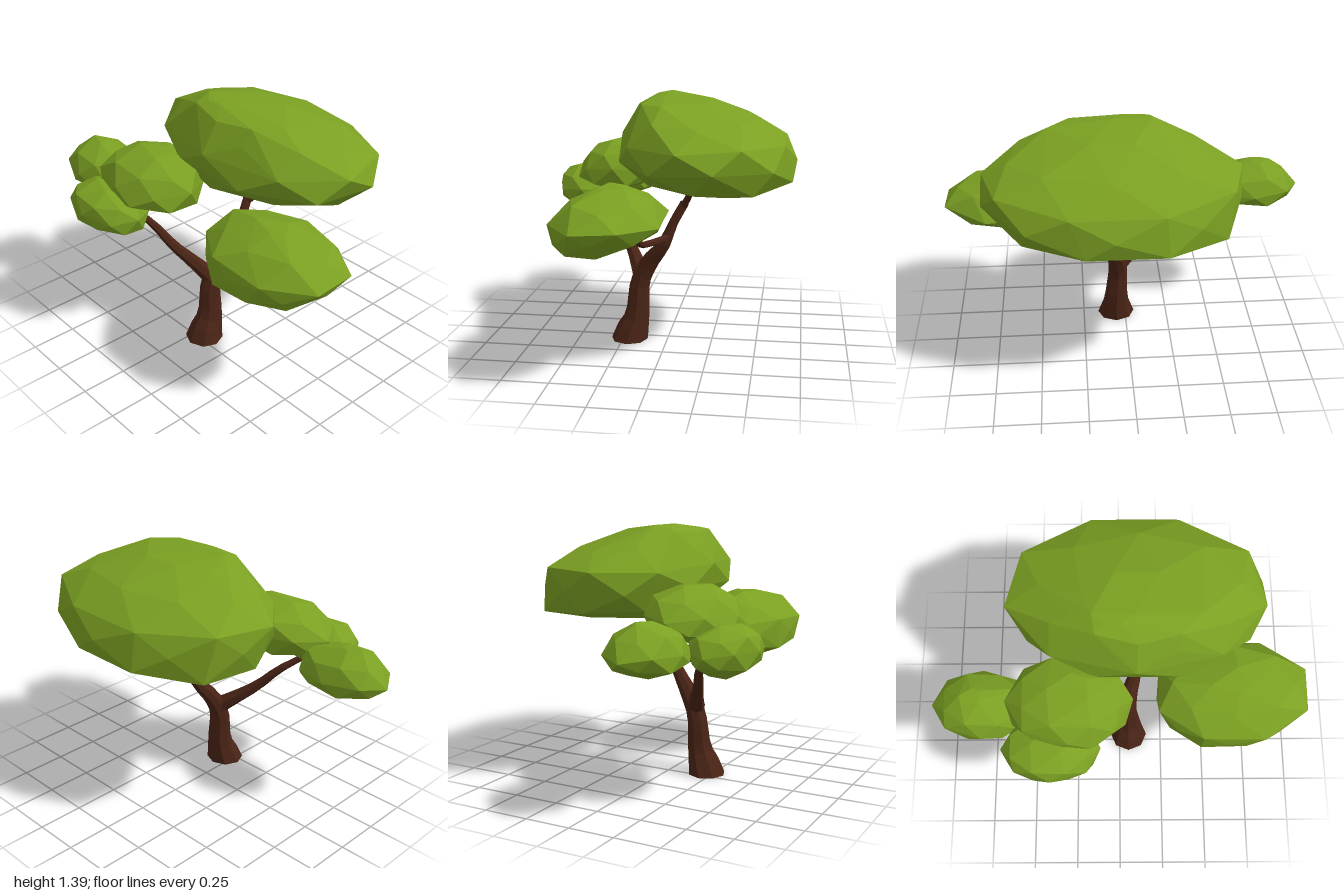
import * as THREE from 'three';
import { ConvexGeometry } from 'three/addons/geometries/ConvexGeometry.js';

const leafMat = new THREE.MeshStandardMaterial({ color: 0x7ba022, flatShading: true });
const barkMat = new THREE.MeshStandardMaterial({ color: 0x4a2416, flatShading: true });

// Faceted leaf mass: convex hull of staggered oval rings [y, xMin, xMax, zMin, zMax]
function foliage(name, rings, n = 8) {
  const points = [];
  rings.forEach(([y, x0, x1, z0, z1], r) => {
    const shift = r % 2 ? 0.5 : 0;
    const grow = shift ? 1 / Math.cos(Math.PI / n) : 1; // staggered rings still reach their limits
    for (let i = 0; i < n; i++) {
      const a = ((i + shift) / n) * Math.PI * 2;
      const wobble = 0.012 * Math.sin(i * 2.3 + r * 1.7);
      points.push(new THREE.Vector3(
        (x0 + x1) / 2 + Math.cos(a) * grow * (x1 - x0) / 2,
        y + wobble,
        (z0 + z1) / 2 + Math.sin(a) * grow * (z1 - z0) / 2));
    }
  });
  const mesh = new THREE.Mesh(new ConvexGeometry(points), leafMat);
  mesh.name = name;
  return mesh;
}

// Tapered limb along a smooth path of [x, y, z, radius]
function limb(name, path, segments, sides) {
  const curve = new THREE.CatmullRomCurve3(path.map(([x, y, z]) => new THREE.Vector3(x, y, z)));
  const geo = new THREE.TubeGeometry(curve, segments, 1, sides);
  const pos = geo.attributes.position;
  const v = new THREE.Vector3();
  for (let i = 0; i <= segments; i++) {
    const centre = curve.getPointAt(i / segments);
    const t = curve.getUtoTmapping(i / segments) * (path.length - 1);
    const k = Math.min(Math.floor(t), path.length - 2);
    const radius = THREE.MathUtils.lerp(path[k][3], path[k + 1][3], t - k);
    for (let j = 0; j <= sides; j++) {
      const id = i * (sides + 1) + j;
      v.fromBufferAttribute(pos, id).sub(centre).multiplyScalar(radius).add(centre);
      if (i === 0 && path[0][1] === 0) v.y = 0; // flat foot on the ground
      pos.setXYZ(id, v.x, v.y, v.z);
    }
  }
  const mesh = new THREE.Mesh(geo, barkMat);
  mesh.name = name;
  return mesh;
}

export function createModel() {
  const tree = new THREE.Group();
  tree.name = 'tree';

  // Trunk leaning into the main bough
  tree.add(limb('trunk', [
    [-0.215, 0, 0.055, 0.108], [-0.17, 0.14, 0.055, 0.068], [-0.152, 0.34, 0.045, 0.054],
    [-0.1, 0.45, 0.055, 0.05], [-0.01, 0.57, 0.09, 0.034], [0.035, 0.68, 0.085, 0.025],
    [0.1, 0.8, 0.07, 0.024],
  ], 14, 8));
  const foot = new THREE.Mesh(new THREE.CircleGeometry(0.1, 8), barkMat);
  foot.name = 'trunkFoot';
  foot.rotation.x = Math.PI / 2;
  foot.position.set(-0.215, 0.002, 0.055);
  tree.add(foot);

  // Boughs
  tree.add(limb('crownBoughFront', [
    [0.09, 0.78, 0.07, 0.022], [0.125, 0.84, 0.12, 0.018], [0.17, 0.94, 0.24, 0.014]], 4, 6));
  tree.add(limb('crownBoughBack', [
    [0.09, 0.78, 0.07, 0.022], [0.13, 0.85, 0.03, 0.018], [0.17, 0.93, -0.04, 0.015]], 4, 6));
  tree.add(limb('backBough', [
    [-0.15, 0.38, 0.045, 0.05], [-0.2, 0.455, -0.05, 0.038], [-0.26, 0.54, -0.15, 0.029],
    [-0.32, 0.66, -0.26, 0.022], [-0.42, 0.76, -0.38, 0.016]], 8, 7));
  tree.add(limb('frontBough', [
    [0.01, 0.605, 0.09, 0.022], [-0.05, 0.62, 0.27, 0.019],
    [-0.085, 0.65, 0.43, 0.017], [-0.085, 0.74, 0.58, 0.014]], 7, 6));

  // Foliage
  tree.add(foliage('mainCrown', [
    [0.89, 0.03, 0.57, -0.25, 0.3], [0.95, -0.12, 0.68, -0.52, 0.6],
    [1.06, -0.24, 0.7, -0.57, 0.77], [1.17, -0.21, 0.64, -0.56, 0.73],
    [1.27, -0.17, 0.5, -0.42, 0.63], [1.35, -0.13, 0.24, -0.22, 0.4],
    [1.38, -0.06, 0.05, -0.14, 0.08]], 9));
  tree.add(foliage('frontFoliage', [
    [0.66, -0.42, -0.28, 0.38, 0.56], [0.69, -0.48, -0.12, 0.27, 0.85],
    [0.76, -0.49, 0.03, 0.2, 0.97], [0.83, -0.48, 0.065, 0.21, 1.0],
    [0.92, -0.4, 0.01, 0.28, 0.93], [0.97, -0.27, -0.13, 0.48, 0.68]]));
  tree.add(foliage('middleFoliage', [
    [0.83, -0.42, -0.2, -0.42, -0.13], [0.88, -0.54, -0.1, -0.56, 0.03],
    [0.96, -0.54, -0.06, -0.6, 0.07], [1.04, -0.47, -0.1, -0.5, 0],
    [1.09, -0.37, -0.2, -0.37, -0.13]]));
  tree.add(foliage('backFoliage', [
    [0.73, -0.35, -0.2, -0.84, -0.6], [0.77, -0.45, -0.12, -0.94, -0.49],
    [0.83, -0.47, -0.09, -1.0, -0.46], [0.91, -0.42, -0.14, -0.92, -0.52],
    [0.97, -0.32, -0.24, -0.83, -0.71]]));
  tree.add(foliage('rightFoliage', [
    [0.69, -0.59, -0.46, -0.5, -0.32], [0.74, -0.67, -0.38, -0.59, -0.14],
    [0.81, -0.7, -0.34, -0.63, -0.1], [0.88, -0.67, -0.38, -0.57, -0.17],
    [0.92, -0.6, -0.45, -0.46, -0.28]]));
  return tree;
}
